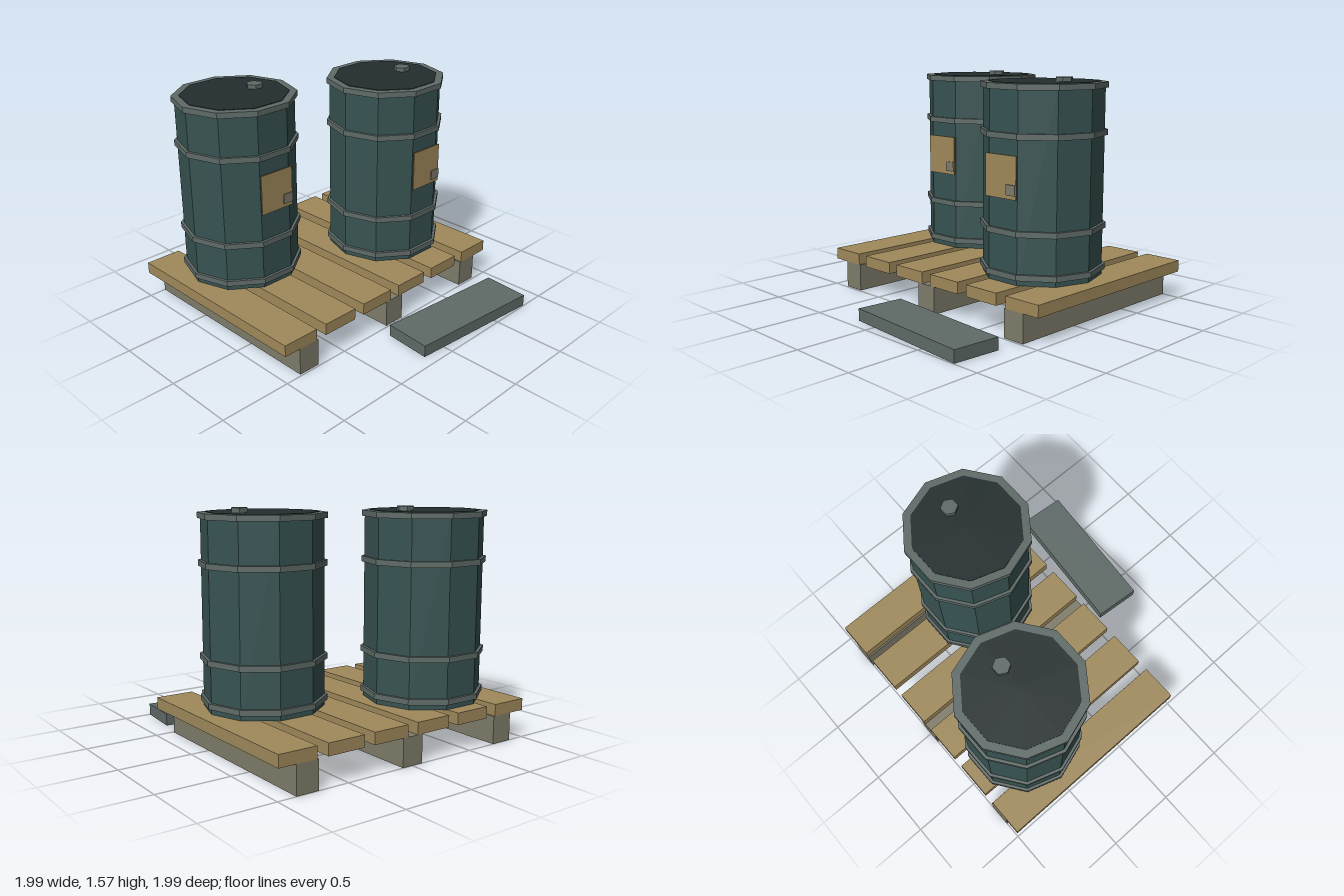
import * as THREE from 'three';

const flat = (name, color) => {
  const m = new THREE.MeshStandardMaterial({ color });
  m.name = name;
  return m;
};

export function createModel() {
  const wood = flat('wood', 0xa08a5b);
  const runnerWood = flat('weathered wood', 0x7f7c6a);
  const teal = flat('teal paint', 0x375352);
  const steel = flat('grey steel', 0x5f6b68);
  const dark = flat('dark lid', 0x232d2e);

  const model = new THREE.Group();
  model.name = 'drumsOnPallet';

  const add = (parent, name, geometry, material, x, y, z) => {
    const mesh = new THREE.Mesh(geometry, material);
    mesh.name = name;
    mesh.position.set(x, y, z);
    parent.add(mesh);
    return mesh;
  };
  // Faceted prism with corners on the x axis
  const prism = (r, h, sides) => new THREE.CylinderGeometry(r, r, h, sides).toNonIndexed().rotateY(Math.PI / 2);
  const faceted = (r, h, sides) => {
    const g = prism(r, h, sides);
    g.computeVertexNormals();
    return g;
  };

  // Pallet: three runners under six slats
  const pallet = new THREE.Group();
  pallet.name = 'pallet';
  model.add(pallet);
  for (const x of [-0.8, -0.003, 0.793]) {
    add(pallet, 'runner', new THREE.BoxGeometry(0.157, 0.19, 1.487), runnerWood, x, 0.095, -0.256);
  }
  for (let i = 0; i < 6; i++) {
    add(pallet, 'slat', new THREE.BoxGeometry(0.265, 0.08, 1.487), wood, -0.865 + i * 0.3447, 0.23, -0.256);
  }

  // Drums: ten-sided body with hoops, lid, bung and front label
  const addDrum = (name, x, z) => {
    const drum = new THREE.Group();
    drum.name = name;
    drum.position.set(x, 0, z);
    model.add(drum);
    add(drum, 'body', faceted(0.397, 1.25, 10), teal, 0, 0.895, 0);
    for (const y of [0.325, 0.603, 1.214, 1.518]) {
      add(drum, 'hoop', faceted(0.417, 0.038, 10), steel, 0, y, 0);
    }
    add(drum, 'lid', faceted(0.365, 0.02, 10), dark, 0, 1.531, 0);
    add(drum, 'bung', faceted(0.057, 0.03, 6), steel, 0.17, 1.554, 0);
    add(drum, 'label', new THREE.BoxGeometry(0.262, 0.276, 0.008), wood, 0, 0.958, 0.398);
    add(drum, 'labelPatch', new THREE.BoxGeometry(0.078, 0.068, 0.008), runnerWood, 0.09, 0.88, 0.406);
  };
  addDrum('rightDrum', -0.504, -0.524);
  addDrum('leftDrum', 0.502, -0.099);

  // Loose slab lying at an angle in front
  const slab = add(model, 'looseSlab', new THREE.BoxGeometry(0.993, 0.083, 0.331), steel, 0.33, 0.0415, 0.79);
  slab.rotation.y = -0.081;

  return model;
}
